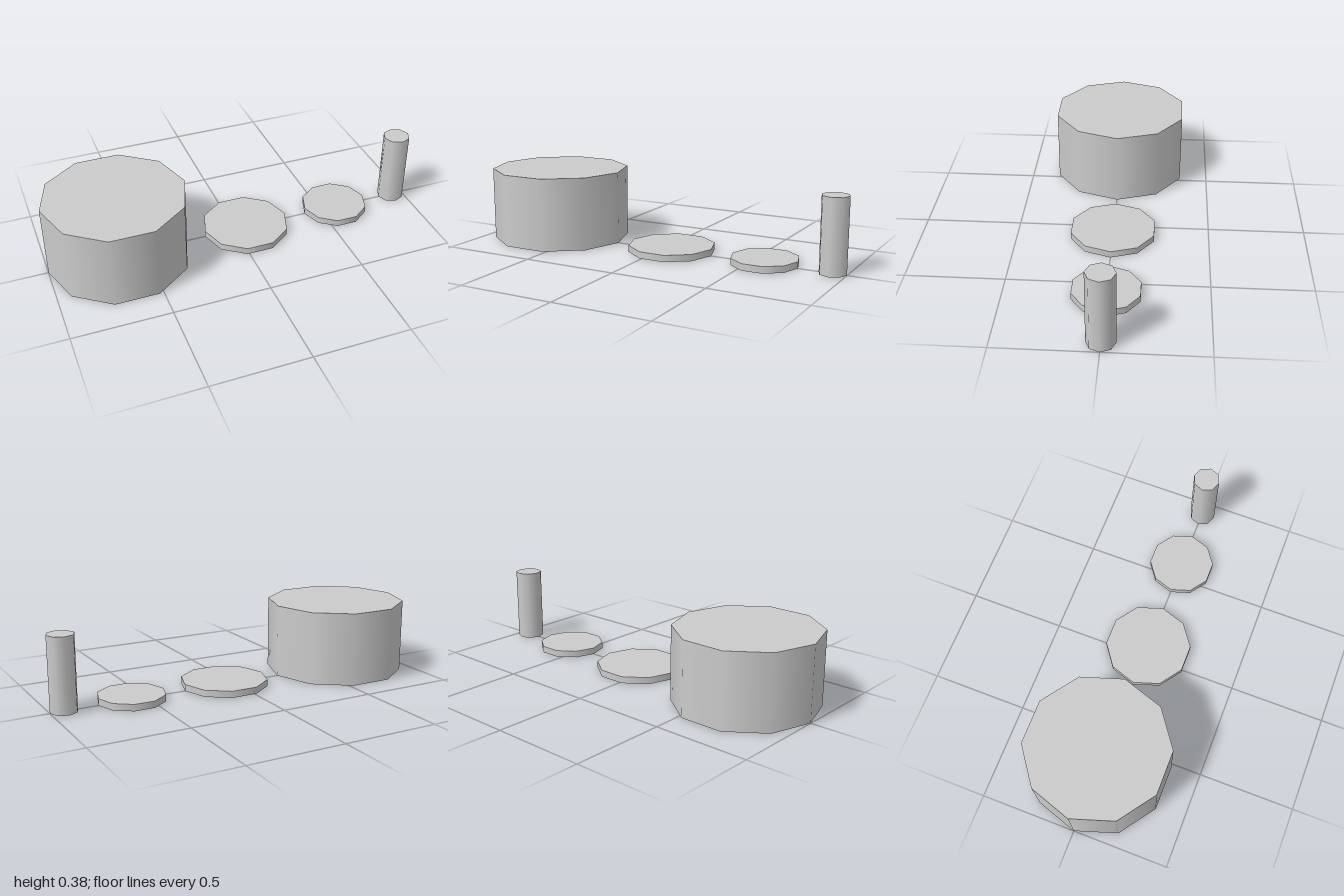
import * as THREE from 'three';

// name, centre x, radius, height, sides
const PARTS = [
  ['largeDrum', -0.634, 0.366, 0.384, 10],
  ['wideDisc', 0.059, 0.227, 0.035, 10],
  ['smallDisc', 0.581, 0.174, 0.035, 10],
  ['thinPost', 0.93, 0.07, 0.384, 8],
];

export function createModel() {
  const group = new THREE.Group();
  const material = new THREE.MeshStandardMaterial({ color: 0xcccccc });

  // Row of closed cylinders on the ground, each with a corner pointing along x
  for (const [name, x, radius, height, sides] of PARTS) {
    const geometry = new THREE.CylinderGeometry(radius, radius, height, sides);
    geometry.rotateY(Math.PI / 2);
    const mesh = new THREE.Mesh(geometry, material);
    mesh.name = name;
    mesh.position.set(x, height / 2, 0);
    group.add(mesh);
  }
  return group;
}
